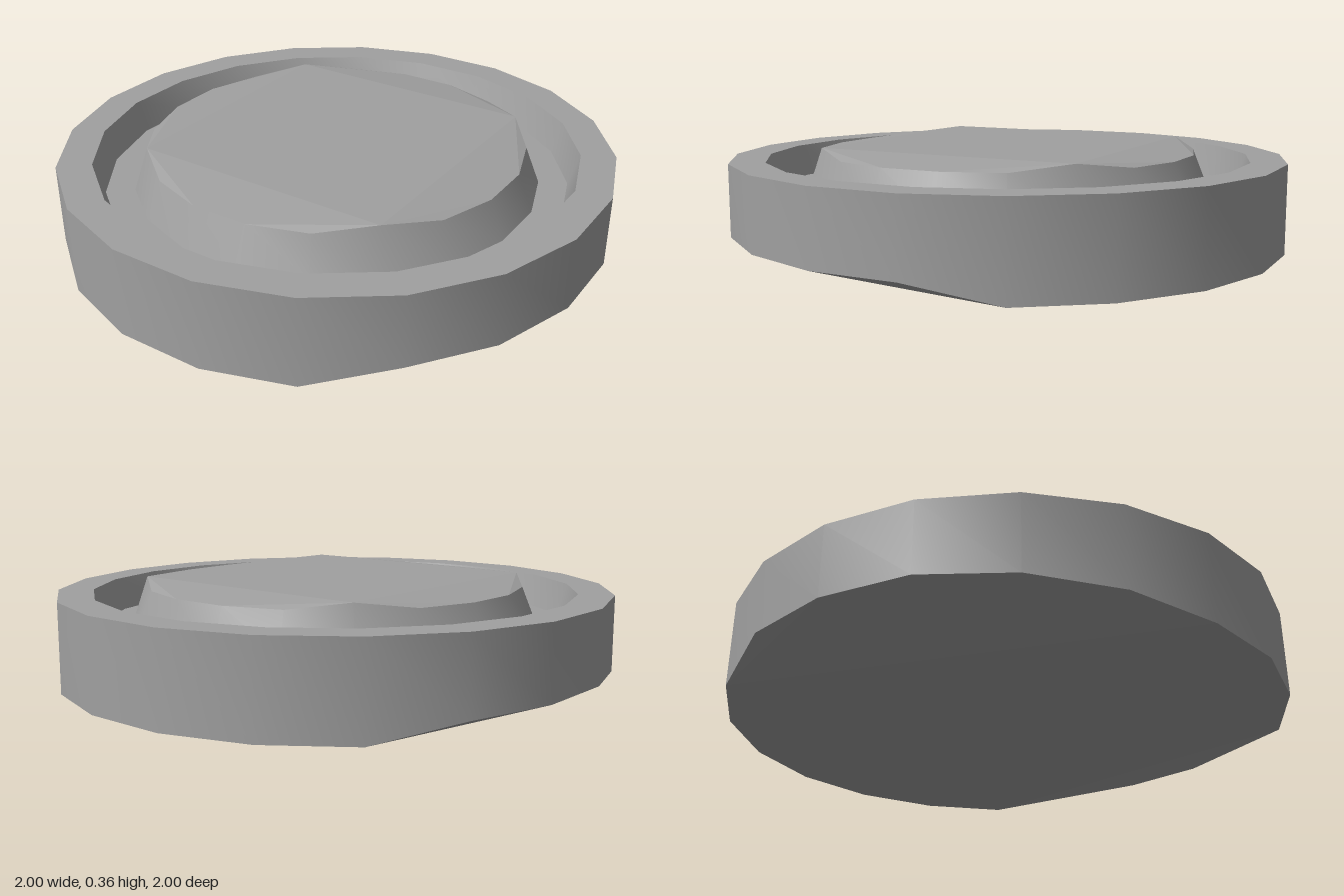
import * as THREE from 'three';
import { ConvexGeometry } from 'three/addons/geometries/ConvexGeometry.js';

const SIDES = 20;
const TURN = -0.077; // small twist of the polygon about y

// one polygon loop; height is a number or a function of the corner index
function loop(radius, height) {
  return Array.from({ length: SIDES }, (_, i) => {
    const a = (i / SIDES) * Math.PI * 2 + TURN;
    const y = typeof height === 'function' ? height(i) : height;
    return new THREE.Vector3(radius * Math.cos(a), y, radius * Math.sin(a));
  });
}

// closed band between two loops, smooth around and sharp at its borders
function band(from, to) {
  const geometry = new THREE.BufferGeometry().setFromPoints([...from, ...to]);
  const index = [];
  for (let i = 0; i < SIDES; i++) {
    const j = (i + 1) % SIDES;
    index.push(i, SIDES + i, SIDES + j, i, SIDES + j, j);
  }
  geometry.setIndex(index);
  geometry.computeVertexNormals();
  return geometry;
}

export function createModel() {
  const group = new THREE.Group();
  const grey = new THREE.MeshStandardMaterial({ color: 0xa0a0a0 });
  grey.name = 'grey';

  const add = (name, geometry) => {
    const mesh = new THREE.Mesh(geometry, grey);
    mesh.name = name;
    group.add(mesh);
  };

  // underside corners are lifted along two sides
  const lift = { 0: 0.06, 1: 0.06, 2: 0.06, 3: 0.06, 8: 0.025, 9: 0.045, 10: 0.06, 11: 0.06, 12: 0.055 };
  const base = loop(1.003, (i) => lift[i] ?? 0);
  const rimOuter = loop(1.003, 0.315);
  const rimInner = loop(0.878, 0.315);
  const grooveOuter = loop(0.842, 0.2);
  const grooveInner = loop(0.738, 0.2);
  // four corners of the raised disc stand slightly higher
  const discEdge = loop(0.684, (i) => (i % 5 === 3 ? 0.36 : 0.335));

  add('outerWall', band(base, rimOuter));
  add('rimTop', band(rimOuter, rimInner));
  add('grooveOuterWall', band(rimInner, grooveOuter));
  add('grooveFloor', band(grooveOuter, grooveInner));
  add('discWall', band(grooveInner, discEdge));

  // shallow faceted caps
  add('underside', new ConvexGeometry(base));
  add('discTop', new ConvexGeometry(discEdge));

  return group;
}
